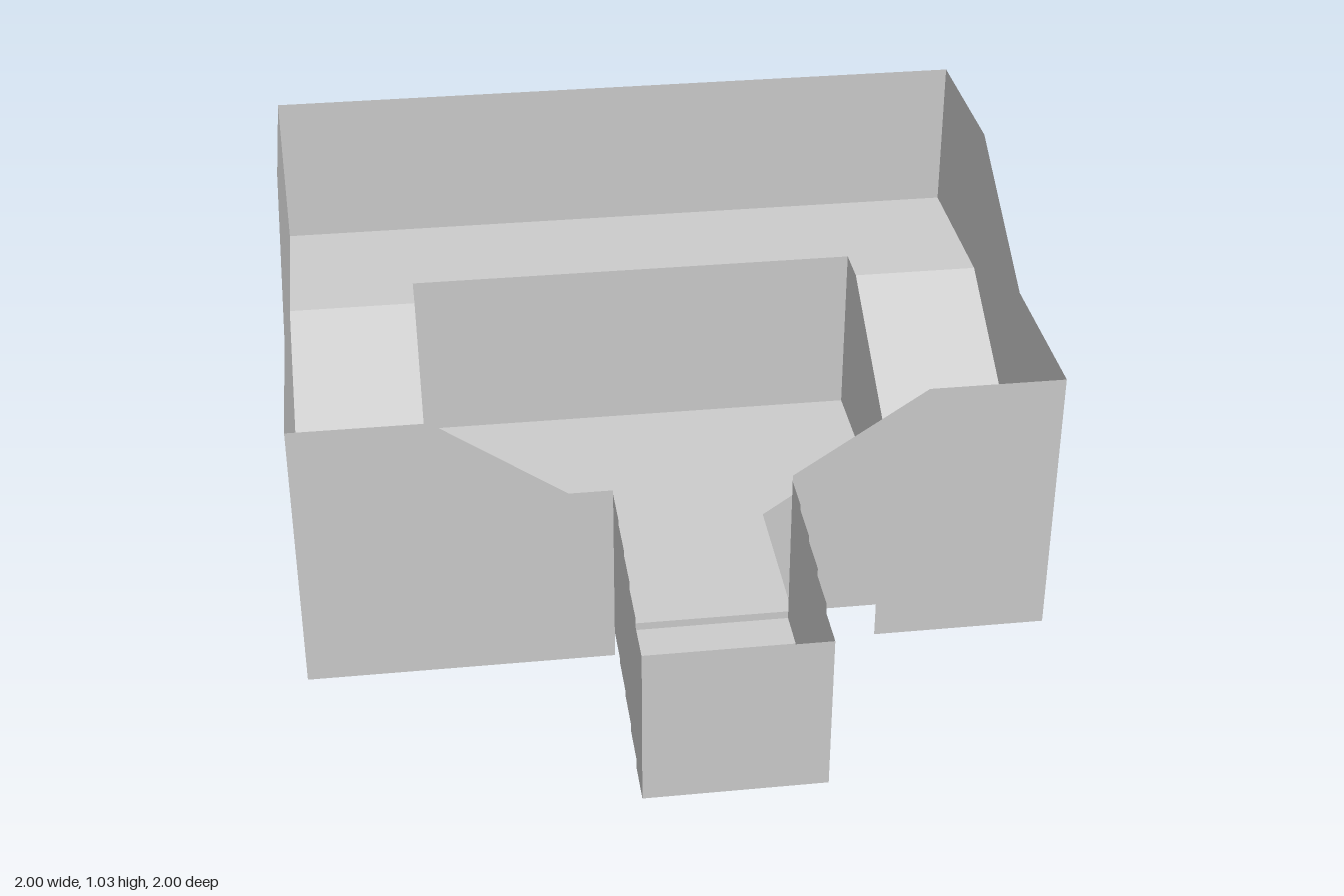
import * as THREE from 'three';

const material = new THREE.MeshStandardMaterial({ color: 0xcccccc, side: THREE.DoubleSide, flatShading: true });

// Main levels and plan lines
const WALL = 0.43, FLOOR = 0.1, LOW = 0.34, HIGH = 0.6;
const BACK = -1, PIT_BACK = -0.65, SLOPE_TOP = -0.53, SLOPE_END = -0.06, FRONT = 0.41;
const PIT_X = 0.645, RAMP_X = 0.3, DOOR_L = -0.18, DOOR_R = 0.29;

export function createModel() {
  const model = new THREE.Group();
  model.name = 'steppedPitBuilding';

  const add = (name, geometry) => {
    const mesh = new THREE.Mesh(geometry, material);
    mesh.name = name;
    model.add(mesh);
    return mesh;
  };

  const outline = (points) =>
    new THREE.ShapeGeometry(new THREE.Shape(points.map(([a, b]) => new THREE.Vector2(a, b))));

  // Upright sheet facing z, outlined in (x, y)
  const crossWall = (name, z, points) => add(name, outline(points).translate(0, 0, z));

  // Upright sheet facing x, outlined in (z, y)
  const sideWall = (name, x, points) =>
    add(name, outline(points).rotateY(-Math.PI / 2).translate(x, 0, 0));

  // Floor sheet: a (z, y) profile running from back to front, swept from x0 to x1
  const floorStrip = (name, x0, x1, profile) => {
    const p = [];
    for (let i = 0; i < profile.length - 1; i++) {
      const [za, ya] = profile[i], [zb, yb] = profile[i + 1];
      p.push(x0, ya, za, x0, yb, zb, x1, yb, zb, x0, ya, za, x1, yb, zb, x1, ya, za);
    }
    const g = new THREE.BufferGeometry();
    g.setAttribute('position', new THREE.Float32BufferAttribute(p, 3));
    g.computeVertexNormals();
    return add(name, g);
  };

  const rect = (a0, b0, a1, b1) => [[a0, b0], [a1, b0], [a1, b1], [a0, b1]];

  // Back wall and the full-width wall behind the pit
  crossWall('backWall', BACK, rect(-1, 0, 1, HIGH + WALL));
  crossWall('pitBackWall', PIT_BACK, rect(-1, 0, 1, HIGH));

  // Front wall, split by the doorway, with an opening below the floor
  crossWall('frontWallLeft', FRONT, [
    [DOOR_R, FLOOR], [0.53, FLOOR], [0.53, 0], [1, 0], [1, LOW + WALL],
    [0.64, LOW + WALL], [DOOR_R, FLOOR + WALL + 0.005],
  ]);
  crossWall('frontWallRight', FRONT, [
    [-1, 0], [DOOR_L, 0], [DOOR_L, FLOOR + WALL], [-0.295, FLOOR + WALL],
    [-0.64, LOW + WALL], [-1, LOW + WALL],
  ]);

  // Floors of the rear terrace and the sunken pit
  floorStrip('rearTerrace', -1, 1, [[BACK, HIGH], [PIT_BACK, HIGH]]);
  floorStrip('pitFloor', -PIT_X, PIT_X, [[PIT_BACK, FLOOR], [FRONT, FLOOR]]);
  crossWall('pitFloorSkirt', SLOPE_END, rect(-PIT_X, 0, PIT_X, FLOOR));

  for (const s of [-1, 1]) {
    const side = s > 0 ? 'left' : 'right';

    // Outer side wall with a sloping top
    sideWall(side + 'OuterWall', s, [
      [BACK, 0], [FRONT, 0], [FRONT, LOW + WALL], [SLOPE_END, LOW + WALL],
      [SLOPE_TOP, HIGH + WALL], [BACK, HIGH + WALL],
    ]);

    // Sloping walkway and front landing
    floorStrip(side + 'Walkway', Math.min(s, s * PIT_X), Math.max(s, s * PIT_X), [
      [PIT_BACK, HIGH], [SLOPE_TOP, HIGH], [SLOPE_END, LOW], [FRONT, LOW],
    ]);
    crossWall(side + 'LandingSupport', SLOPE_END, rect(s * PIT_X, 0, s, LOW));

    // Pit side wall below the walkway
    sideWall(side + 'PitWall', s * PIT_X, [
      [PIT_BACK, 0], [SLOPE_END, 0], [SLOPE_END, FLOOR], [FRONT, FLOOR],
      [FRONT, LOW], [SLOPE_END, LOW], [SLOPE_TOP, HIGH], [PIT_BACK, HIGH],
    ]);

    // Ramp from the landing down to the pit floor, with its triangular end
    const width = PIT_X - RAMP_X, drop = LOW - FLOOR;
    const ramp = add(side + 'Ramp',
      new THREE.PlaneGeometry(Math.hypot(width, drop), FRONT - SLOPE_END).rotateX(-Math.PI / 2));
    ramp.rotation.z = s * Math.atan2(drop, width);
    ramp.position.set(s * (PIT_X + RAMP_X) / 2, (LOW + FLOOR) / 2, (FRONT + SLOPE_END) / 2);
    crossWall(side + 'RampEnd', SLOPE_END,
      [[s * RAMP_X, FLOOR], [s * PIT_X, FLOOR], [s * PIT_X, LOW]]);
  }

  // Entrance stairs: thin treads and risers between stepped parapets
  const stepZ = [FRONT, 0.525, 0.645, 0.765, 0.885, 1];
  const stepY = [0.078, 0.064, 0.049, 0.027, 0];
  const steps = [];
  stepY.forEach((y, i) => steps.push([stepZ[i], y], [stepZ[i + 1], y]));
  floorStrip('entranceSteps', DOOR_L, DOOR_R, [[FRONT, FLOOR], ...steps]);

  const parapetTop = steps.map(([z, y]) => [z, y + 0.44]).reverse();
  sideWall('rightStairParapet', DOOR_L, [...steps, ...parapetTop]);
  sideWall('leftStairParapet', DOOR_R, [...steps, ...parapetTop]);
  crossWall('stairFrontPanel', 1, rect(DOOR_L, 0, DOOR_R, 0.44));

  return model;
}
